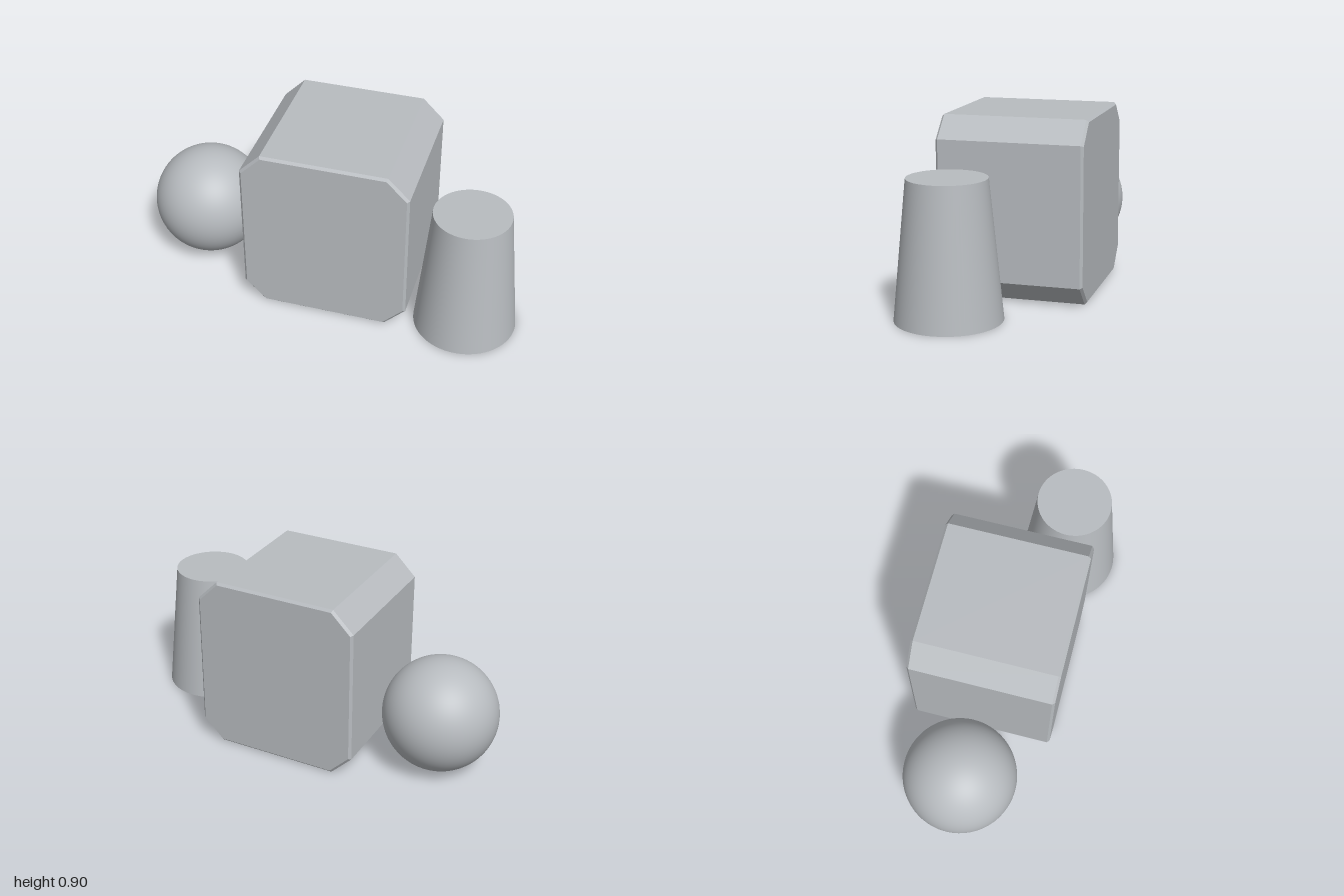
import * as THREE from 'three';

// Octagonal outline: a rectangle with cut corners
function cutCornerShape(halfW, halfH, cut) {
  const s = new THREE.Shape();
  s.moveTo(-halfW + cut, -halfH);
  s.lineTo(halfW - cut, -halfH);
  s.lineTo(halfW, -halfH + cut);
  s.lineTo(halfW, halfH - cut);
  s.lineTo(halfW - cut, halfH);
  s.lineTo(-halfW + cut, halfH);
  s.lineTo(-halfW, halfH - cut);
  s.lineTo(-halfW, -halfH + cut);
  s.closePath();
  return s;
}

export function createModel() {
  const group = new THREE.Group();
  const grey = new THREE.MeshStandardMaterial({ color: 0xb8bcc0 });
  grey.name = 'light grey';

  const add = (name, geometry, x, y, z) => {
    const mesh = new THREE.Mesh(geometry, grey);
    mesh.name = name;
    mesh.position.set(x, y, z);
    group.add(mesh);
    return mesh;
  };

  // Block with chamfered long edges and a thin bevel round both end faces
  const bevel = 0.012, halfDepth = 0.363;
  const blockGeometry = new THREE.ExtrudeGeometry(cutCornerShape(0.42, 0.45, 0.107), {
    depth: 2 * (halfDepth - bevel),
    bevelEnabled: true,
    bevelThickness: bevel,
    bevelSize: bevel,
    bevelOffset: -bevel,
    bevelSegments: 1,
  });
  blockGeometry.translate(0, 0, -(halfDepth - bevel));
  const block = add('chamferedBlock', blockGeometry, 0.025, 0.45, -0.001);
  block.rotation.y = THREE.MathUtils.degToRad(9.1);

  // Ball on one side
  add('ball', new THREE.SphereGeometry(0.287, 64, 40), -0.713, 0.29, 0.092);

  // Tapered column on the other side
  add('taperedColumn', new THREE.CylinderGeometry(0.19, 0.257, 0.67, 64), 0.742, 0.335, 0.092);

  return group;
}
